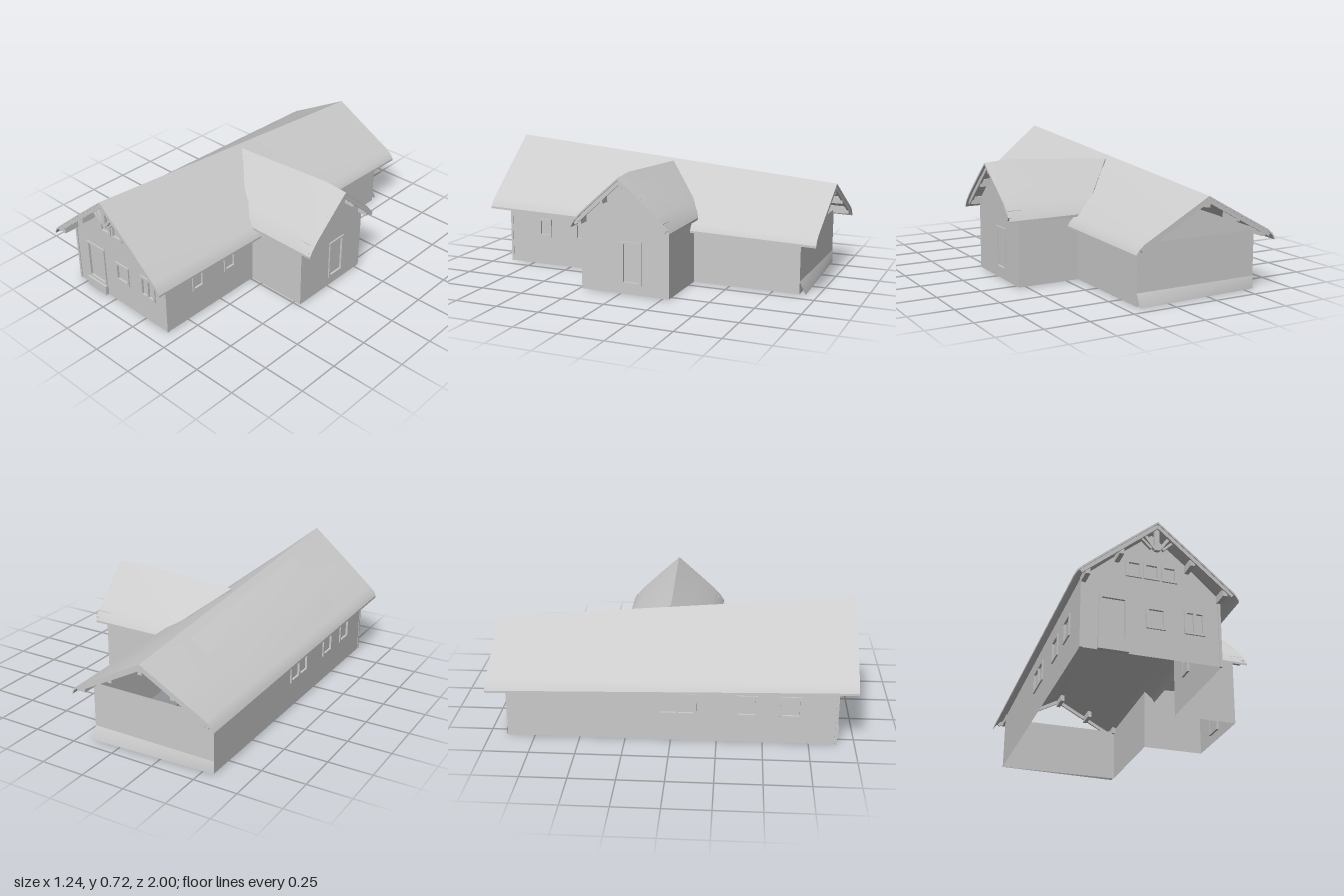
import * as THREE from 'three';
import { toCreasedNormals } from 'three/addons/utils/BufferGeometryUtils.js';

const grey = new THREE.MeshStandardMaterial({ color: 0xcccccc, side: THREE.DoubleSide });

function add(parent, name, geometry) {
  const mesh = new THREE.Mesh(geometry, grey);
  mesh.name = name;
  parent.add(mesh);
  return mesh;
}

function box(parent, name, w, h, d, x, y, z) {
  const mesh = add(parent, name, new THREE.BoxGeometry(w, h, d));
  mesh.position.set(x, y, z);
  return mesh;
}

// Straight timber between two points in a wall's own plane
function bar(parent, name, [x1, y1], [x2, y2], width, depth, z) {
  const length = Math.hypot(x2 - x1, y2 - y1);
  const mesh = box(parent, name, length, width, depth, (x1 + x2) / 2, (y1 + y2) / 2, z);
  mesh.rotation.z = Math.atan2(y2 - y1, x2 - x1);
}

// Thin shell over a grid of points: top, underside and rim
function shell(parent, name, rows, t) {
  const pos = [];
  const low = ([x, y, z]) => [x, y - t, z];
  const quad = (a, b, c, d) => pos.push(...a, ...b, ...c, ...a, ...c, ...d);
  const last = rows.length - 1, end = rows[0].length - 1;
  for (let i = 0; i < last; i++) {
    for (let j = 0; j < end; j++) {
      const a = rows[i][j], b = rows[i][j + 1], c = rows[i + 1][j + 1], d = rows[i + 1][j];
      quad(a, b, c, d);
      quad(low(d), low(c), low(b), low(a));
    }
    quad(rows[i][0], rows[i + 1][0], low(rows[i + 1][0]), low(rows[i][0]));
    quad(rows[i + 1][end], rows[i][end], low(rows[i][end]), low(rows[i + 1][end]));
  }
  for (let j = 0; j < end; j++) {
    quad(rows[0][j + 1], rows[0][j], low(rows[0][j]), low(rows[0][j + 1]));
    quad(rows[last][j], rows[last][j + 1], low(rows[last][j + 1]), low(rows[last][j]));
  }
  const g = new THREE.BufferGeometry();
  g.setAttribute('position', new THREE.Float32BufferAttribute(pos, 3));
  g.computeVertexNormals();
  return add(parent, name, toCreasedNormals(g, 0.5));
}

// Upright wall drawn in its own plane, with framed openings [u1, v1, u2, v2, panes]
function wall(parent, name, x, z, turn, outline, openings = []) {
  const group = new THREE.Group();
  group.name = name;
  group.position.set(x, 0, z);
  group.rotation.y = turn;
  parent.add(group);
  const shape = new THREE.Shape(outline.map(([u, v]) => new THREE.Vector2(u, v)));
  for (const [u1, v1, u2, v2, panes = 1] of openings) {
    shape.holes.push(new THREE.Path([[u1, v1], [u1, v2], [u2, v2], [u2, v1]].map(([u, v]) => new THREE.Vector2(u, v))));
    const w = u2 - u1, h = v2 - v1, u = (u1 + u2) / 2, v = (v1 + v2) / 2, f = 0.014;
    box(group, 'pane', w, h, 0.003, u, v, -0.006);
    for (const s of [-1, 1]) {
      box(group, 'frameSide', f, h, 0.02, u + s * (w - f) / 2, v, -0.002);
      box(group, 'frameRail', w, f, 0.02, u, v + s * (h - f) / 2, -0.002);
    }
    for (let i = 1; i < panes; i++) box(group, 'mullion', f, h, 0.02, u1 + w * i / panes, v, -0.002);
  }
  add(group, name + 'Surface', new THREE.ShapeGeometry(shape));
  return group;
}

// Mirror a half profile of [offset, ...] about the ridge
const mirror = half => [...half.slice(1).reverse().map(([o, ...r]) => [-o, ...r]), ...half];

export function createModel() {
  const house = new THREE.Group();
  house.name = 'house';
  const ridgeX = -0.19, wingZ = -0.025;

  // Main roof: the ridge falls towards the back, the eaves curl down
  const mainHalf = [[0, 0.72, 0.555], [0.21, 0.545, 0.44], [0.385, 0.395, 0.345], [0.415, 0.367, 0.32], [0.43, 0.34, 0.295]];
  const roofRows = [1, -1].map((z, i) => mirror(mainHalf).map(p => [ridgeX + p[0], p[1 + i], z]));
  shell(house, 'mainRoof', roofRows, 0.012);

  // Wing roof: starts along the valley of the main roof
  const wingHalf = [[0, 0.665, -0.15], [0.13, 0.545, -0.02], [0.22, 0.46, 0.07], [0.265, 0.41, 0.13], [0.285, 0.375, 0.18]];
  const wingRows = [0, 1, 2].map(i => mirror(wingHalf).map(([o, y, start]) => {
    const x = [start, 0.48, o < 0 ? 0.62 + o * 0.07 : 0.62][i];
    const k = [0.87, 1, 0.965][i];
    return [x, 0.375 + (y - 0.375) * k, wingZ + o];
  }));
  shell(house, 'wingRoof', wingRows, 0.012);

  // Front gable wall with door and windows
  const front = wall(house, 'frontWall', 0, 0.9, 0,
    [[-0.56, 0], [0.175, 0], [0.175, 0.385], [0.02, 0.525], [ridgeX, 0.698], [-0.4, 0.525], [-0.56, 0.385]],
    [[-0.468, 0.06, -0.32, 0.303], [-0.225, 0.155, -0.12, 0.275], [-0.022, 0.155, 0.09, 0.287, 2],
      ...[-0.33, -0.235, -0.14].map(u => [u, 0.432, u + 0.085, 0.526])]);
  box(front, 'doorStep', 0.158, 0.06, 0.03, -0.395, 0.03, 0.005);

  // Side walls of the main body, interrupted by the wing on the right
  const right = Math.PI / 2;
  wall(house, 'leftWall', -0.56, 0, -right, [[-0.9, 0], [0.9, 0], [0.9, 0.385], [-0.9, 0.335]],
    [[-0.07, 0.155, 0.14, 0.28, 2], [0.35, 0.155, 0.47, 0.28], [0.59, 0.155, 0.71, 0.28]]);
  wall(house, 'rightFrontWall', 0.175, 0, right, [[-0.9, 0], [-0.235, 0], [-0.235, 0.37], [-0.9, 0.385]],
    [[-0.71, 0.17, -0.625, 0.278], [-0.467, 0.17, -0.38, 0.278]]);
  wall(house, 'rightBackWall', 0.175, 0, right, [[0.28, 0], [0.9, 0], [0.9, 0.335], [0.28, 0.355]]);

  // Back wall stops at eaves height, leaving the loft open
  const back = wall(house, 'backWall', 0, -0.9, Math.PI, [[-0.175, 0], [0.56, 0], [0.56, 0.325], [-0.175, 0.325]]);
  shell(house, 'backSkirt', [
    [[-0.56, 0.07, -0.9], [0.175, 0.07, -0.9]],
    [[-0.56, 0, -0.905], [0.175, 0, -0.935]]], 0);

  // Wing walls
  wall(house, 'wingFrontWall', 0, 0.235, 0, [[0.175, 0], [0.54, 0], [0.54, 0.4], [0.175, 0.385]]);
  wall(house, 'wingBackWall', 0, -0.285, Math.PI, [[-0.54, 0], [-0.175, 0], [-0.175, 0.385], [-0.54, 0.4]]);
  const gable = wall(house, 'wingGableWall', 0.54, 0, right,
    [[-0.235, 0], [0.285, 0], [0.285, 0.398], [0.245, 0.44], [0.025, 0.645], [-0.195, 0.44], [-0.235, 0.398]],
    [[0.005, 0.055, 0.125, 0.295]]);

  // Rake boards and projecting purlin ends, local to each gable
  function trim(group, centre, ridge, shoulder, z, purlins, depth) {
    for (const s of [-1, 1]) {
      bar(group, 'rakeBoard', [centre, ridge], [centre + s * shoulder[0], shoulder[1]], 0.024, 0.012, z);
      for (const [o, y] of purlins) box(group, 'purlin', 0.024, 0.042, depth, centre + s * o, y, depth / 2 - 0.02);
    }
  }
  trim(front, ridgeX, 0.698, [0.4, 0.362], 0.09, [[0.188, 0.523], [0.36, 0.378]], 0.11);
  trim(back, -ridgeX, 0.533, [0.4, 0.315], 0.09, [[0.188, 0.425], [0.36, 0.33]], 0.115);
  trim(gable, 0.025, 0.632, [0.27, 0.385], 0.06, [[0.112, 0.525], [0.24, 0.405]], 0.08);
  box(gable, 'ridgePurlin', 0.022, 0.035, 0.08, 0.025, 0.612, 0.02);
  box(back, 'ridgePurlin', 0.024, 0.04, 0.115, -ridgeX, 0.515, 0.038);

  // Decorative truss in the front gable
  box(front, 'kingPost', 0.024, 0.13, 0.02, ridgeX, 0.625, 0.075);
  for (const s of [-1, 1]) {
    bar(front, 'brace', [ridgeX + s * 0.01, 0.568], [ridgeX + s * 0.06, 0.635], 0.016, 0.016, 0.075);
    bar(front, 'brace', [ridgeX + s * 0.03, 0.568], [ridgeX + s * 0.085, 0.622], 0.012, 0.016, 0.075);
  }

  // Corner boards at the front
  for (const x of [-0.556, 0.171]) box(house, 'cornerBoard', 0.014, 0.36, 0.014, x, 0.18, 0.898);

  return house;
}
